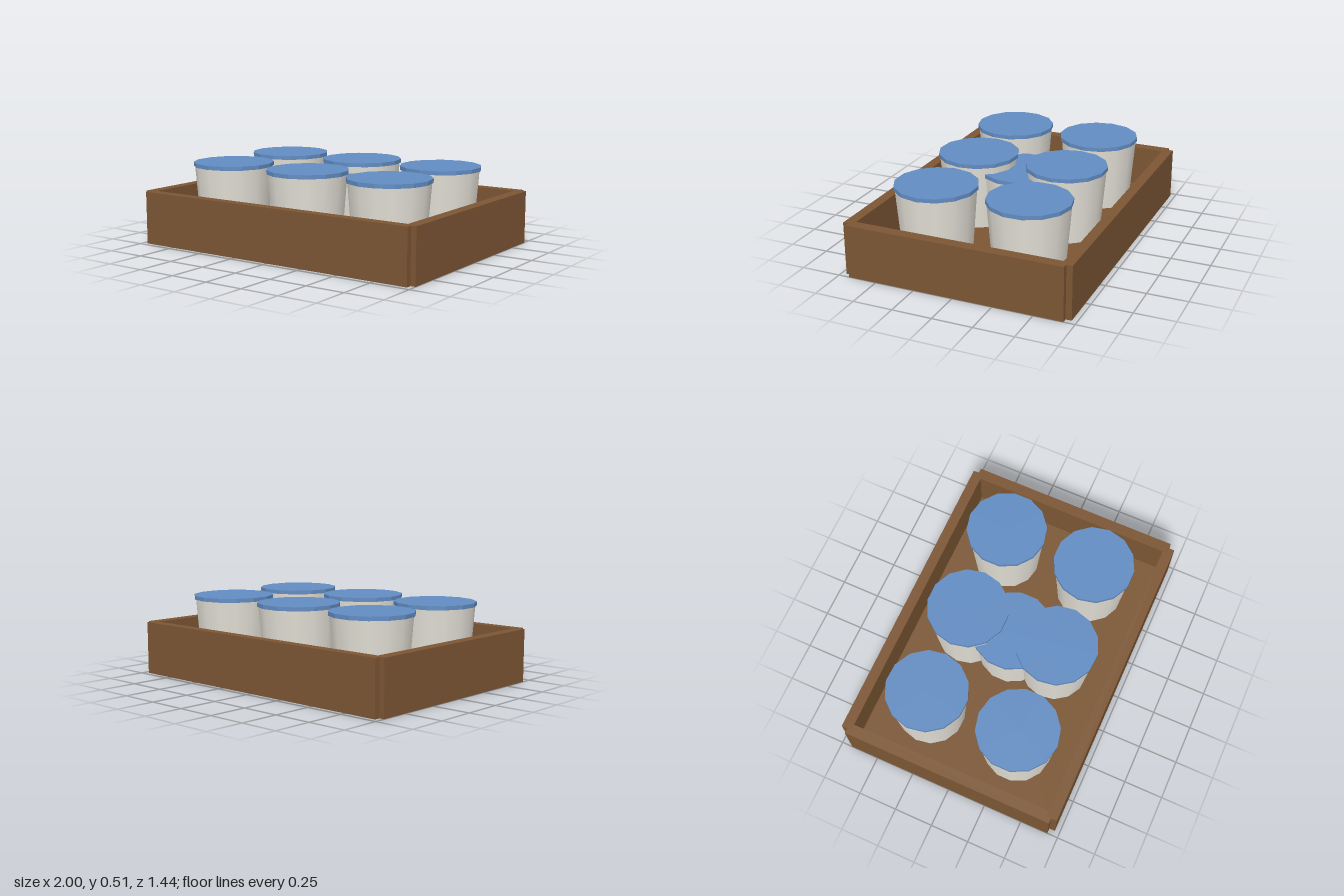
import * as THREE from 'three';

export function createModel() {
  const group = new THREE.Group();
  const mat = (name, color, flatShading = false) =>
    Object.assign(new THREE.MeshStandardMaterial({ color, flatShading }), { name });
  const wood = mat('brown wood', 0x7c5634);
  const pot = mat('off-white pot', 0xe4e1d7);
  const lidBlue = mat('blue lid', 0x628cc2, true);

  const add = (parent, name, geometry, material, x, y, z) => {
    const mesh = new THREE.Mesh(geometry, material);
    mesh.name = name;
    mesh.position.set(x, y, z);
    parent.add(mesh);
    return mesh;
  };

  // Open crate: four walls whose ends leave a small notch at each corner
  const crate = new THREE.Group();
  crate.name = 'crate';
  group.add(crate);
  const H = 0.335, T = 0.066;
  add(crate, 'crateFloor', new THREE.BoxGeometry(1.93, 0.07, 1.36), wood, 0, 0.035, 0);
  for (const s of [1, -1]) {
    add(crate, s > 0 ? 'frontWall' : 'backWall',
      new THREE.BoxGeometry(1.934, H, T), wood, 0, H / 2, s * (0.718 - T / 2));
    add(crate, s > 0 ? 'leftWall' : 'rightWall',
      new THREE.BoxGeometry(T + 0.004, H, 1.362), wood, s * (0.998 - T / 2), H / 2, 0);
  }

  // Tapered pots with flat lids, each turned a little differently
  const SIDES = 14;
  const bodyGeo = new THREE.CylinderGeometry(0.249, 0.216, 0.418, SIDES);
  const lidGeo = new THREE.CylinderGeometry(0.257, 0.257, 0.025, SIDES);
  const addJar = (name, x, y, z, turn) => {
    const jar = new THREE.Group();
    jar.name = name;
    jar.position.set(x, y, z);
    jar.rotation.y = turn;
    add(jar, 'potBody', bodyGeo, pot, 0, 0.209, 0);
    add(jar, 'potLid', lidGeo, lidBlue, 0, 0.4295, 0);
    group.add(jar);
  };

  const half = Math.PI / SIDES;
  const columns = [['right', -0.592, 0, half * 0.8], ['middle', -0.003, half * 0.7, half], ['left', 0.588, half, 0]];
  for (const [side, x, frontTurn, backTurn] of columns) {
    addJar(side + 'FrontJar', x, 0.07, 0.297, frontTurn);
    addJar(side + 'BackJar', x, 0.07, -0.305, backTurn);
  }
  // Lower jar wedged in the centre
  addJar('centreJar', -0.002, 0.001, 0, 0);

  return group;
}
